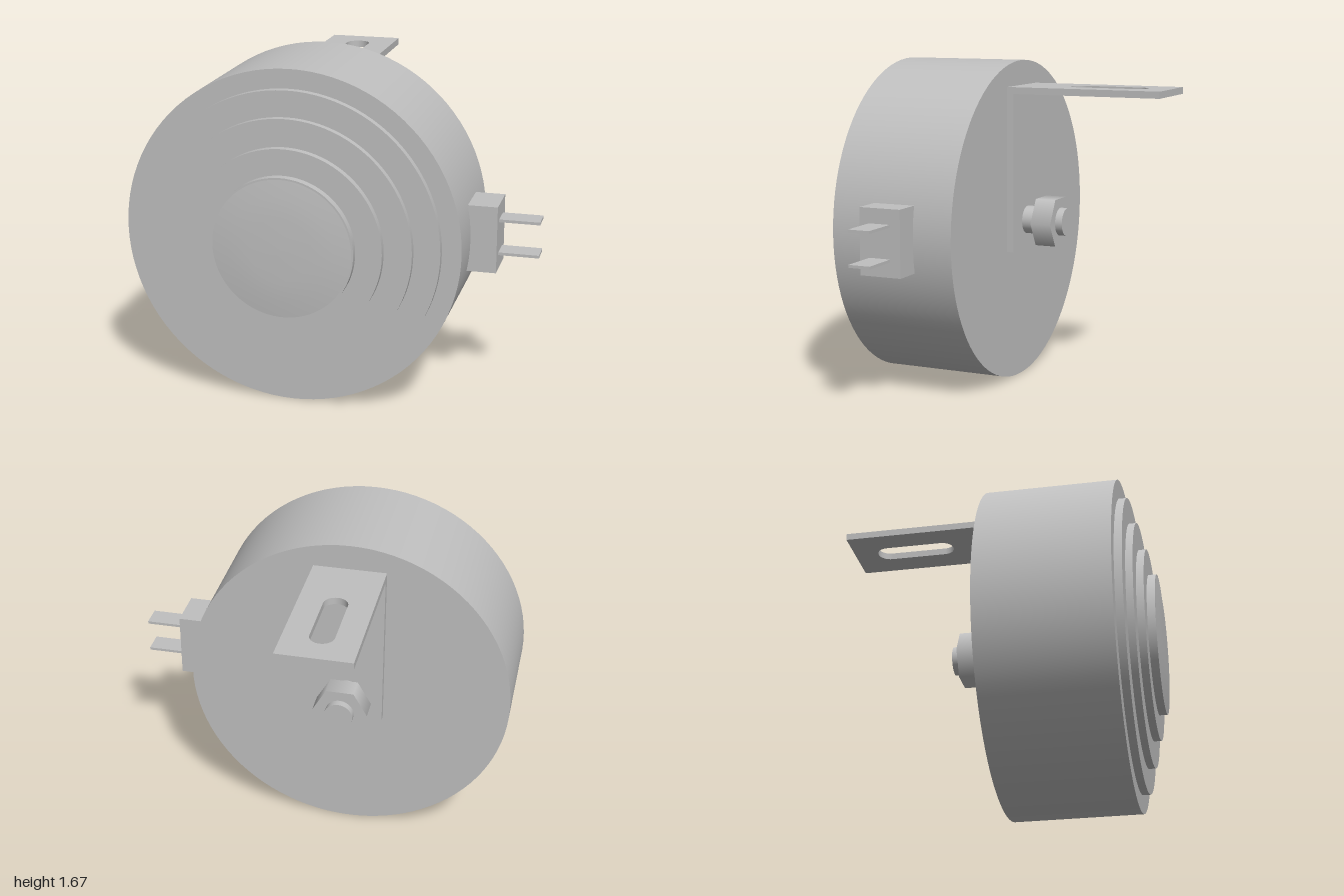
import * as THREE from 'three';

const CX = -0.163, CY = 0.838; // axis of the round housing

export function createModel() {
  const model = new THREE.Group();
  const grey = new THREE.MeshStandardMaterial({ color: 0xbfbfbf });
  grey.name = 'plain grey';

  const add = (name, geometry, x = 0, y = 0, z = 0) => {
    const mesh = new THREE.Mesh(geometry, grey);
    mesh.name = name;
    mesh.position.set(x, y, z);
    model.add(mesh);
    return mesh;
  };
  // Box given by its limits on each axis
  const box = (name, x0, x1, y0, y1, z0, z1) =>
    add(name, new THREE.BoxGeometry(x1 - x0, y1 - y0, z1 - z0),
      (x0 + x1) / 2, (y0 + y1) / 2, (z0 + z1) / 2);
  // Disc or prism along z, on the housing axis
  const disc = (name, r, z0, z1, sides = 96) =>
    add(name, new THREE.CylinderGeometry(r, r, z1 - z0, sides, 1, false, Math.PI / 2)
      .rotateX(Math.PI / 2), CX, CY, (z0 + z1) / 2);

  // Housing and its stepped front
  disc('housing', 0.837, 0, 0.652);
  [[0.743, 0.69], [0.615, 0.725], [0.48, 0.762], [0.352, 0.802]].forEach(([r, z], i) =>
    disc(`frontStep${i + 1}`, r, i ? 0.65 + i * 0.035 : 0.64, z));

  // Shallow dome in the middle of the front
  const dome = [[0.352, 0], [0.26, 0.01], [0.155, 0.016], [0, 0.017]]
    .map(([r, h]) => new THREE.Vector2(r, h));
  add('frontDome', new THREE.LatheGeometry(dome, 96).rotateX(Math.PI / 2), CX, CY, 0.801);

  // Angle bracket: upright leg and slotted top plate
  box('bracketUpright', -0.348, 0.022, 0.69, 1.511, -0.035, 0);
  const plate = new THREE.Shape();
  plate.moveTo(-0.185, 0);
  plate.lineTo(0.185, 0);
  plate.lineTo(0.185, 0.817);
  plate.lineTo(-0.185, 0.817);
  plate.closePath();
  const slot = new THREE.Path();
  slot.absarc(0, 0.34, 0.06, 0, -Math.PI, true);
  slot.absarc(0, 0.632, 0.06, Math.PI, 0, true);
  slot.closePath();
  plate.holes.push(slot);
  add('bracketPlate', new THREE.ExtrudeGeometry(plate,
    { depth: 0.035, bevelEnabled: false, curveSegments: 20 }).rotateX(-Math.PI / 2), CX, 1.511, 0);

  // Mounting bolt and hexagonal nut
  disc('bolt', 0.073, -0.26, 0, 48);
  disc('nut', 0.141, -0.222, -0.112, 6);

  // Connector block with two flat terminals
  box('connectorBlock', 0.62, 0.802, 0.674, 1.008, 0.205, 0.425);
  for (const y of [0.757, 0.925])
    box('terminal', 0.79, 1, y - 0.007, y + 0.007, 0.26, 0.374);

  return model;
}
